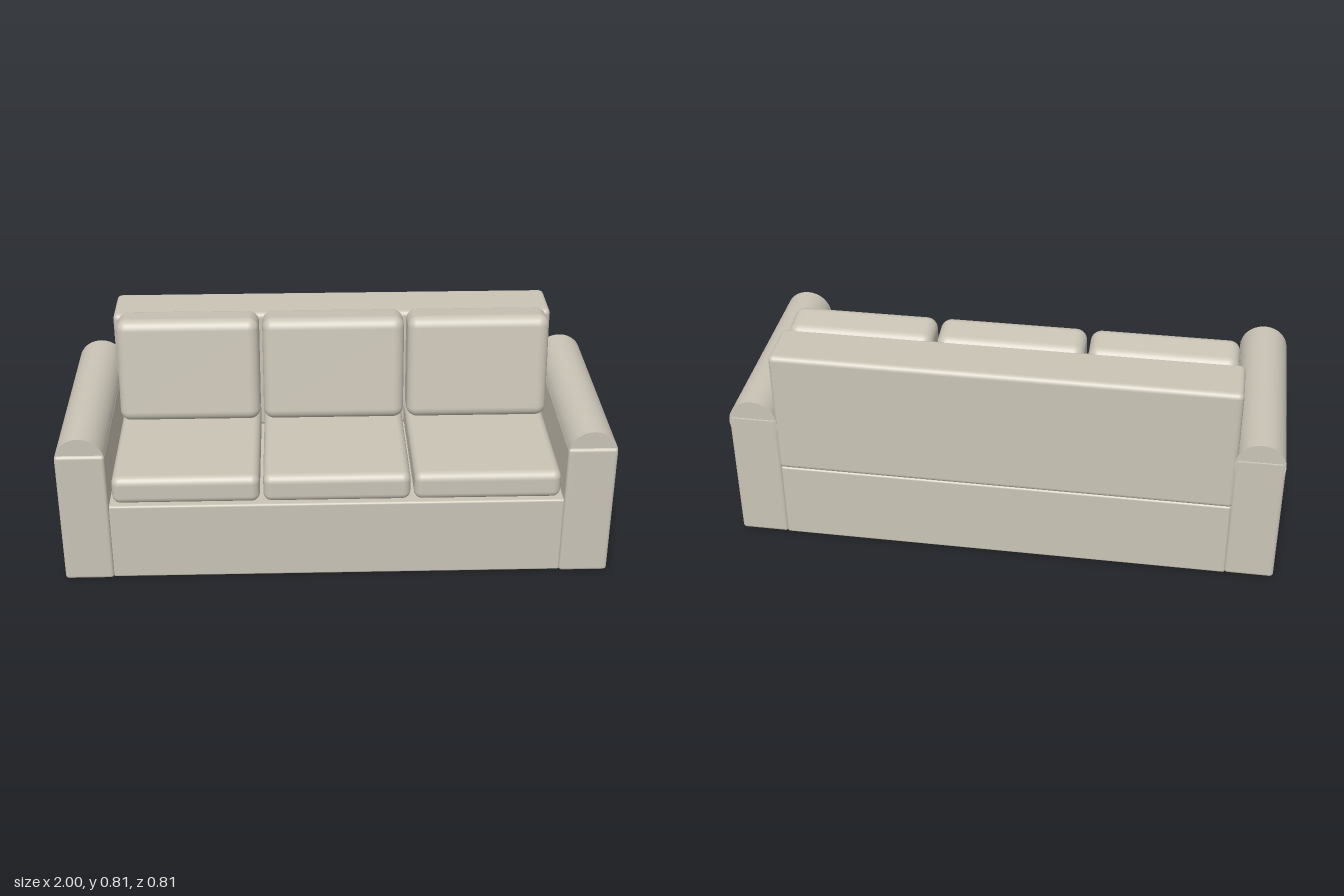
import * as THREE from 'three';
import { RoundedBoxGeometry } from 'three/addons/geometries/RoundedBoxGeometry.js';

export function createModel() {
  const sofa = new THREE.Group();
  sofa.name = 'sofa';
  const fabric = new THREE.MeshStandardMaterial({ color: 0xcac4b6 });
  fabric.name = 'beige fabric';

  const add = (name, geometry, x, y, z) => {
    const mesh = new THREE.Mesh(geometry, fabric);
    mesh.name = name;
    mesh.position.set(x, y, z);
    sofa.add(mesh);
    return mesh;
  };
  // Rounded block given by its size, centre and edge radius
  const block = (name, w, h, d, r, x, y, z) =>
    add(name, new RoundedBoxGeometry(w, h, d, 5, r), x, y, z);

  // Plinth under the seat, and the backrest standing on its rear
  block('base', 1.65, 0.305, 0.795, 0.008, 0, 0.1525, -0.004);
  block('backrest', 1.665, 0.485, 0.203, 0.02, 0, 0.5425, -0.3015);

  // Arms: upright block with a round bolster along the top
  for (const [side, s] of [['left', 1], ['right', -1]]) {
    block(side + 'Arm', 0.178, 0.52, 0.806, 0.013, s * 0.911, 0.26, 0);
    const roll = new THREE.CylinderGeometry(0.089, 0.089, 0.795, 48);
    roll.rotateX(Math.PI / 2);
    add(side + 'ArmRoll', roll, s * 0.911, 0.496, -0.004);
  }

  // Three seat cushions with leaning back cushions
  for (const i of [-1, 0, 1]) {
    const x = i * 0.545;
    block('seatCushion', 0.532, 0.108, 0.6, 0.03, x, 0.357, 0.082);
    const back = block('backCushion', 0.532, 0.4, 0.157, 0.04, x, 0.608, -0.125);
    back.rotation.x = -0.13;
  }
  return sofa;
}
